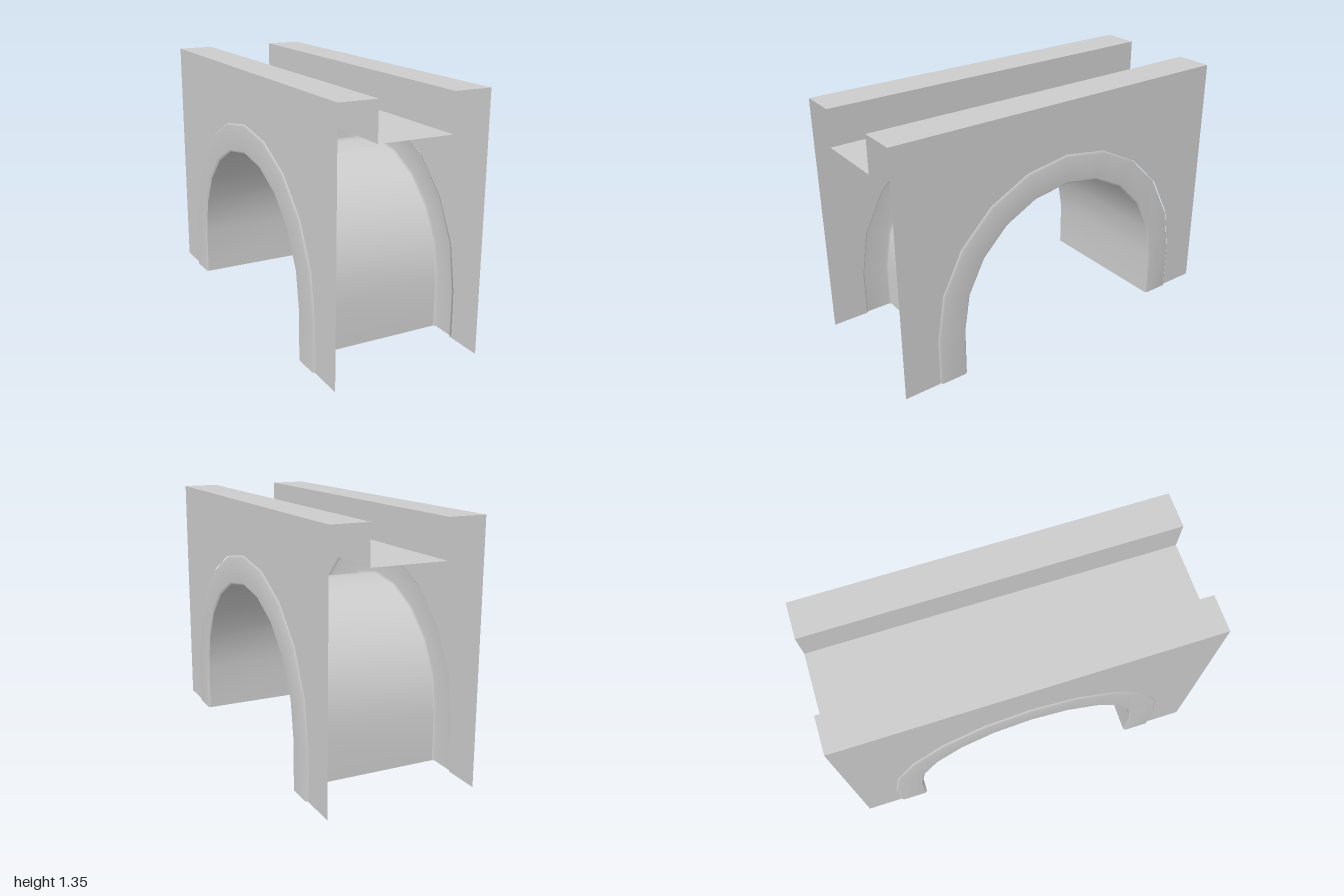
import * as THREE from 'three';

const HALF = 0.4, TOP = 1.345, DECK = 1.147, LANE = 0.2;
const SPRING = 0.26, R_IN = 0.64, R_OUT = 0.8, SEGMENTS = 10;

// Arch outline as [z, y] pairs: straight legs below a half circle
function archPoints(r) {
  const pts = [[-r, 0]];
  for (let i = 0; i <= SEGMENTS; i++) {
    const a = Math.PI * (1 - i / SEGMENTS);
    pts.push([r * Math.cos(a), SPRING + r * Math.sin(a)]);
  }
  pts.push([r, 0]);
  return pts;
}

// Sweep a [radius, x] profile along the arch, with smooth normals
function sweepArch(profile) {
  const arcs = profile.map(([r]) => archPoints(r));
  const n = profile.length, pos = [], index = [];
  for (let j = 0; j < arcs[0].length; j++) {
    profile.forEach(([, x], i) => pos.push(x, arcs[i][j][1], arcs[i][j][0]));
    if (j === 0) continue;
    for (let i = 0; i < n - 1; i++) {
      const a = (j - 1) * n + i, b = j * n + i;
      index.push(a, b, a + 1, b, b + 1, a + 1);
    }
  }
  const g = new THREE.BufferGeometry();
  g.setAttribute('position', new THREE.Float32BufferAttribute(pos, 3));
  g.setIndex(index);
  g.computeVertexNormals();
  return g;
}

export function createModel() {
  const group = new THREE.Group();
  const stone = new THREE.MeshStandardMaterial({ color: 0xcccccc, side: THREE.DoubleSide });
  stone.name = 'stone grey';
  const add = (name, geometry) => {
    const mesh = new THREE.Mesh(geometry, stone);
    mesh.name = name;
    group.add(mesh);
    return mesh;
  };

  // Side wall outline with the arch cut out of its base
  const outline = [[-1, 0], ...archPoints(R_OUT), [1, 0], [1, TOP], [-1, TOP]];
  const wallShape = new THREE.Shape(outline.map(([z, y]) => new THREE.Vector2(z, y)));

  for (const [side, s, back] of [['left', 1, 0.39], ['right', -1, 0.4]]) {
    const turn = s > 0 ? 0 : Math.PI;

    add(side + 'Wall', new THREE.ShapeGeometry(wallShape)
      .rotateY(s * Math.PI / 2).translate(s * HALF, 0, 0));

    // Bevelled rim around the arch
    add(side + 'ArchRim', sweepArch([
      [R_OUT, back], [R_OUT - 0.012, 0.41], [R_IN + 0.012, 0.41], [R_IN, HALF],
    ])).rotation.y = turn;

    // Hollow parapet: top and inner face
    add(side + 'ParapetTop', new THREE.PlaneGeometry(HALF - LANE, 2)
      .rotateX(-Math.PI / 2).translate(s * (HALF + LANE) / 2, TOP, 0));
    add(side + 'ParapetInner', new THREE.PlaneGeometry(2, TOP - DECK)
      .rotateY(-s * Math.PI / 2).translate(s * LANE, (TOP + DECK) / 2, 0));
  }

  // Roadway between the parapets
  add('deck', new THREE.PlaneGeometry(2 * LANE, 2)
    .rotateX(-Math.PI / 2).translate(0, DECK, 0));

  // Vault running through from side to side
  add('archVault', sweepArch([[R_IN, HALF], [R_IN, -HALF]]));

  return group;
}
